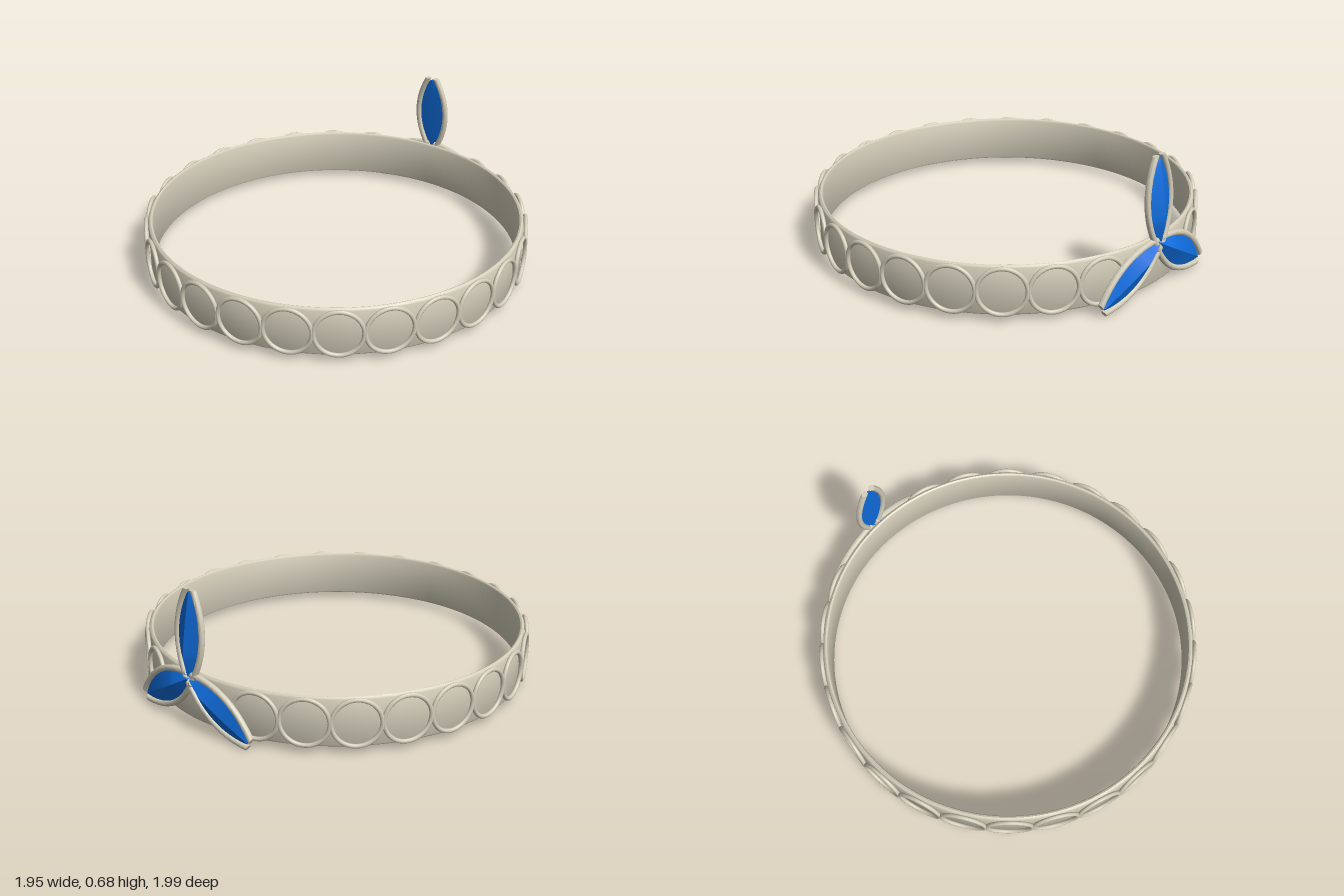
import * as THREE from 'three';
import { toCreasedNormals } from 'three/addons/utils/BufferGeometryUtils.js';

const metal = new THREE.MeshStandardMaterial({ color: 0xd2ccb8 });
const blue = new THREE.MeshStandardMaterial({ color: 0x0f6cdc });

const CENTRE_Z = 0.015;   // centre of the band
const LENGTH = 0.43;      // petal length

function add(parent, geometry, material, name) {
  const mesh = new THREE.Mesh(geometry, material);
  mesh.name = name;
  parent.add(mesh);
  return mesh;
}

// Closed loft along y; section(u) returns [x, z] points for u from -1 to 1
function loft(section, steps, uMin, uMax, crease) {
  const pos = [], index = [];
  let n = 0;
  for (let i = 0; i <= steps; i++) {
    const u = uMin + (uMax - uMin) * i / steps;
    const ring = section(u);
    n = ring.length;
    ring.forEach(([x, z]) => pos.push(x, LENGTH * (u + 1) / 2, z));
  }
  for (let i = 0; i < steps; i++) {
    for (let j = 0; j < n; j++) {
      const a = i * n + j, b = i * n + (j + 1) % n;
      index.push(a, a + n, b, b, a + n, b + n);
    }
  }
  const top = steps * n;
  for (let j = 1; j < n - 1; j++) {
    index.push(0, j, j + 1, top, top + j + 1, top + j);
  }
  const g = new THREE.BufferGeometry();
  g.setAttribute('position', new THREE.Float32BufferAttribute(pos, 3));
  g.setIndex(index);
  return toCreasedNormals(g, crease);
}

// One bowed side of a petal frame, cut flat at both ends
function frameSide(side) {
  return loft((u) => {
    const x = side * (0.085 - 0.061 * u * u);
    const stretch = Math.hypot(1, 0.57 * u);
    const ring = [];
    for (let k = 0; k < 12; k++) {
      const a = k * Math.PI / 6;
      ring.push([x + 0.015 * stretch * Math.cos(a), 0.015 * Math.sin(a)]);
    }
    return ring;
  }, 24, -1, 1, 0.8);
}

// Gem with a flat underside and a ridge that peaks near the flower centre
function gemGeometry() {
  return loft((u) => {
    const w = 0.078 * (1 - u * u) + 0.003;
    const t = (u + 1) / 2;
    const h = t < 0.25 ? 0.012 + 0.028 * t / 0.25 : 0.04 - 0.034 * ((t - 0.25) / 0.75) ** 1.5;
    return [[w, 0], [0, h], [-w, 0], [0, -0.004]];
  }, 20, -0.95, 0.95, 0.35);
}

export function createModel() {
  const model = new THREE.Group();
  model.name = 'bangle';

  // Plain band with softened rims
  const profile = [
    [0.93, 0.042], [0.934, 0.034], [0.942, 0.03], [0.95, 0.034], [0.955, 0.042],
    [0.955, 0.266], [0.95, 0.274], [0.942, 0.278], [0.934, 0.274], [0.93, 0.266], [0.93, 0.042],
  ].map(([x, y]) => new THREE.Vector2(x, y));
  const band = add(model, toCreasedNormals(new THREE.LatheGeometry(profile, 128), 0.6), metal, 'band');
  band.position.z = CENTRE_Z;

  // Overlapping flat hoops around the band, leaving a gap behind the flower
  const hoops = new THREE.Group();
  hoops.name = 'hoops';
  hoops.position.set(0, 0.155, CENTRE_Z);
  model.add(hoops);
  const hoopGeometry = new THREE.TorusGeometry(0.114, 0.0105, 10, 48);
  for (let i = 0; i < 26; i++) {
    if (i === 12 || i === 13) continue;
    const a = THREE.MathUtils.degToRad(7.75) + i * Math.PI / 13;
    const hoop = add(hoops, hoopGeometry, metal, 'hoop');
    hoop.position.set(0.965 * Math.sin(a), 0, 0.965 * Math.cos(a));
    hoop.rotation.y = a;
  }

  // Three-petal flower on the back, petals leaning toward the band
  const flower = new THREE.Group();
  flower.name = 'flower';
  flower.position.set(0, 0.25, -0.956);
  flower.rotation.y = Math.PI;
  model.add(flower);
  const sides = [frameSide(1), frameSide(-1)];
  const gem = gemGeometry();
  for (let k = 0; k < 3; k++) {
    const petal = new THREE.Group();
    petal.name = 'petal';
    petal.rotation.order = 'ZXY';
    petal.rotation.set(-0.06, 0, k * Math.PI * 2 / 3);
    sides.forEach((g) => add(petal, g, metal, 'petalFrame'));
    add(petal, gem, blue, 'petalGem');
    flower.add(petal);
  }
  return model;
}
